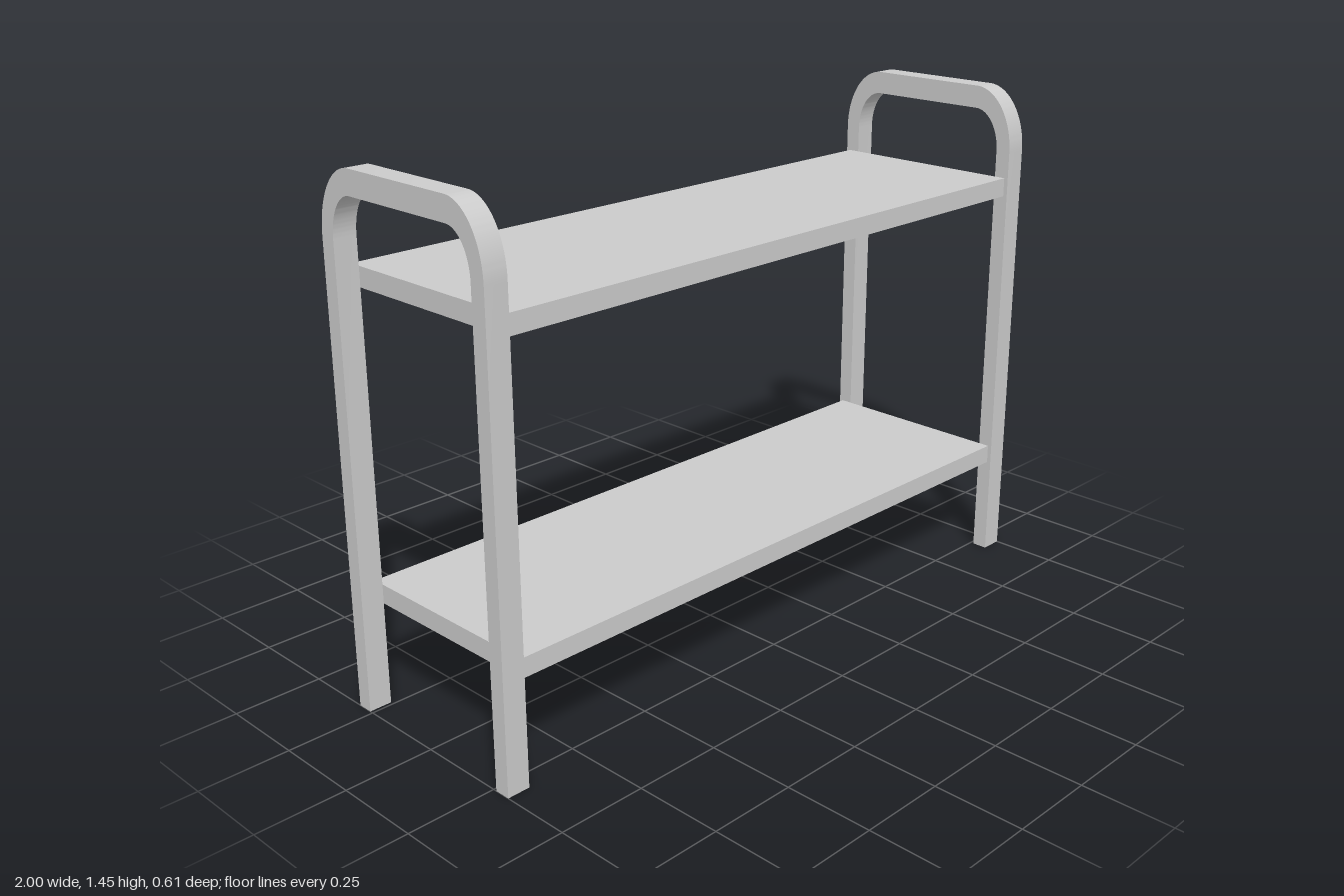
import * as THREE from 'three';
import { toCreasedNormals } from 'three/addons/utils/BufferGeometryUtils.js';

const material = new THREE.MeshStandardMaterial({ color: 0xcccccc });

// Closed outline of an inverted U: outer edge up and over, inner edge back
function hoopShape() {
  const outer = 0.305, inner = 0.26, top = 1.447, under = 1.382, bend = 1.265, flat = 0.18;
  const s = new THREE.Shape();
  s.moveTo(-outer, 0);
  s.lineTo(-inner, 0);
  s.lineTo(-inner, bend);
  s.absellipse(-flat, bend, inner - flat, under - bend, Math.PI, Math.PI / 2, true);
  s.lineTo(flat, under);
  s.absellipse(flat, bend, inner - flat, under - bend, Math.PI / 2, 0, true);
  s.lineTo(inner, 0);
  s.lineTo(outer, 0);
  s.lineTo(outer, bend);
  s.absellipse(flat, bend, outer - flat, top - bend, 0, Math.PI / 2, false);
  s.lineTo(-flat, top);
  s.absellipse(-flat, bend, outer - flat, top - bend, Math.PI / 2, Math.PI, false);
  s.closePath();
  return s;
}

export function createModel() {
  const group = new THREE.Group();
  const width = 0.065;

  // Bent end frames, each forming two legs and a handle
  let frame = new THREE.ExtrudeGeometry(hoopShape(), { depth: width, bevelEnabled: false, curveSegments: 16 });
  frame.translate(0, 0, -width / 2);
  frame.rotateY(Math.PI / 2);
  frame = toCreasedNormals(frame, 0.5);
  for (const [name, side] of [['leftFrame', 1], ['rightFrame', -1]]) {
    const mesh = new THREE.Mesh(frame, material);
    mesh.name = name;
    mesh.position.x = side * (1 - width / 2);
    group.add(mesh);
  }

  // Shelves spanning between the frames
  const shelf = new THREE.BoxGeometry(2 - 2 * width, 0.054, 0.586);
  for (const [name, y] of [['lowerShelf', 0.317], ['upperShelf', 1.162]]) {
    const mesh = new THREE.Mesh(shelf, material);
    mesh.name = name;
    mesh.position.y = y;
    group.add(mesh);
  }
  return group;
}
